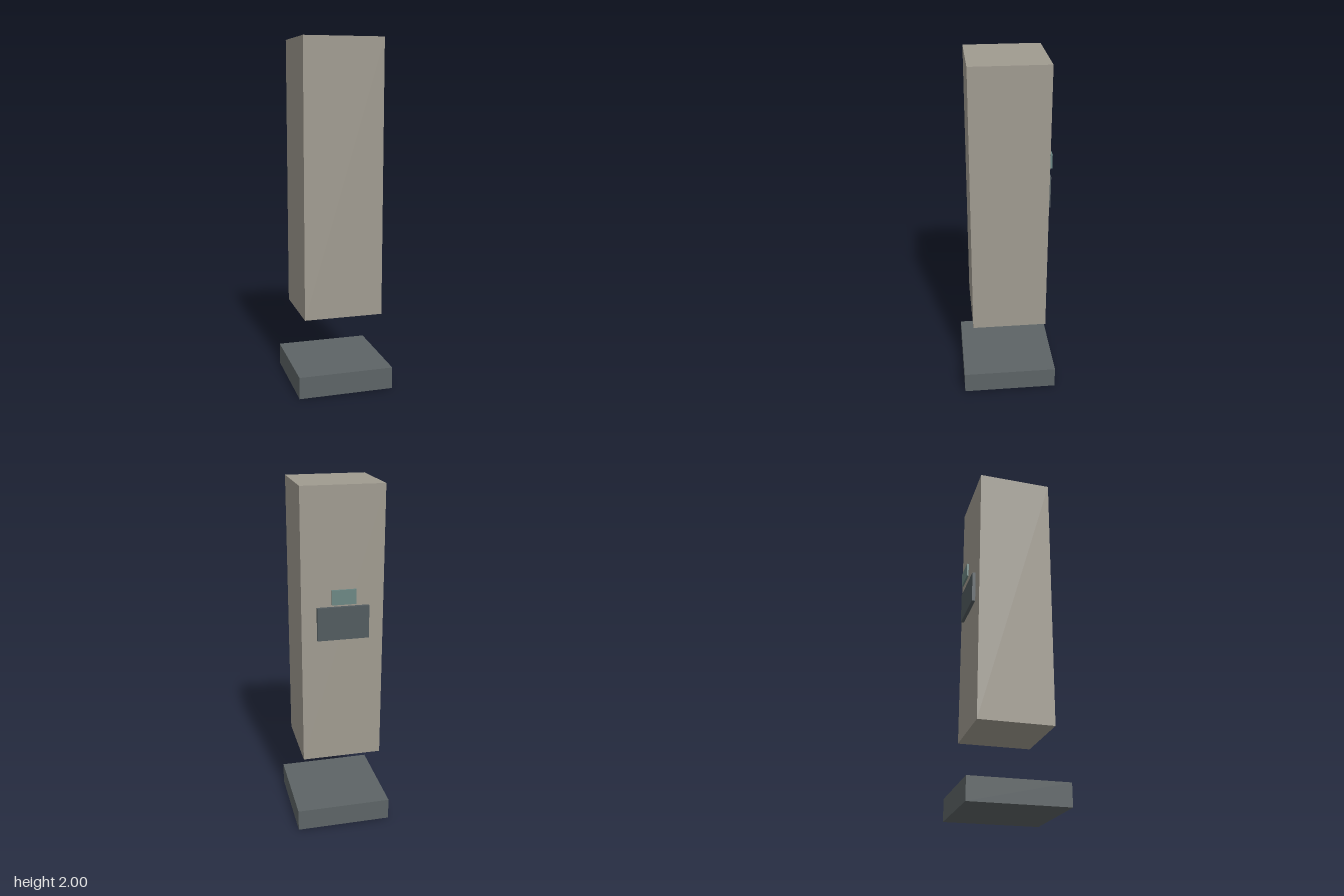
import * as THREE from 'three';

// Box given by width, depth, bottom, top and the z of its centre
function block(name, color, width, depth, bottom, top, z = 0) {
  const mesh = new THREE.Mesh(
    new THREE.BoxGeometry(width, top - bottom, depth),
    new THREE.MeshStandardMaterial({ color })
  );
  mesh.name = name;
  mesh.position.set(0, (bottom + top) / 2, z);
  return mesh;
}

export function createModel() {
  const model = new THREE.Group();
  model.name = 'pillar';
  model.add(
    // Plinth on the ground and the column floating above it
    block('base', 0x5d6466, 0.553, 0.553, 0, 0.127),
    block('column', 0xa09b90, 0.455, 0.43, 0.437, 2),
    // Plate on the back, with a small display standing off above it
    block('backPanel', 0x525b5f, 0.288, 0.019, 1.171, 1.356, -0.227),
    block('display', 0x6c8784, 0.134, 0.011, 1.375, 1.457, -0.248)
  );
  return model;
}
